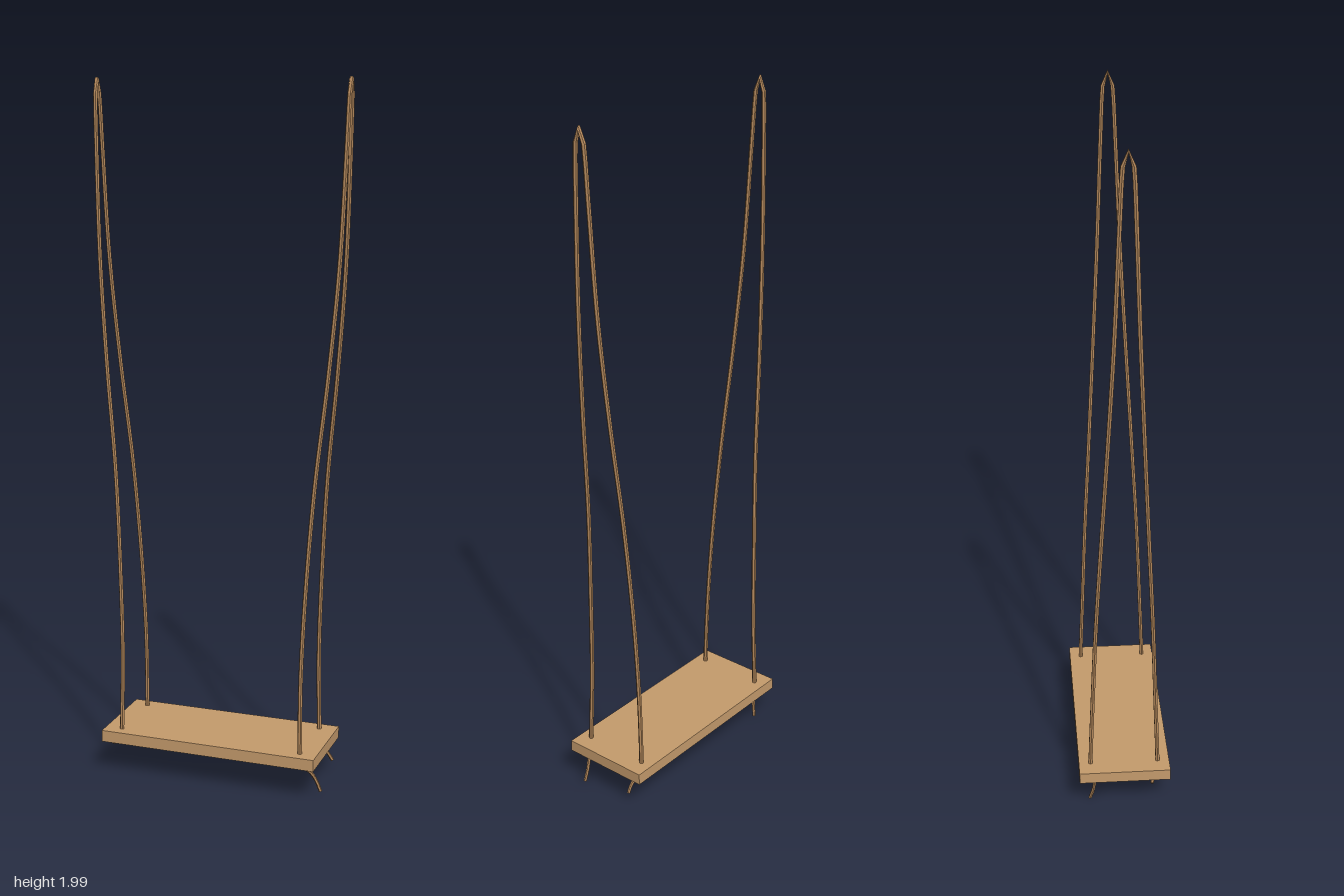
import * as THREE from 'three';

const wood = new THREE.MeshStandardMaterial({ color: 0xc69c6d });
const ropeMat = new THREE.MeshStandardMaterial({ color: 0xb5895c, flatShading: true });
const R = 0.0065;

// Six-sided rope along a smooth path, closed at both ends
function rope(name, points, segments, radius = R) {
  const pts = points.map((p) => new THREE.Vector3(...p));
  const curve = new THREE.CatmullRomCurve3(pts);
  const group = new THREE.Group();
  group.name = name;
  group.add(new THREE.Mesh(new THREE.TubeGeometry(curve, segments, radius, 6), ropeMat));
  for (const t of [0, 1]) {
    const cap = new THREE.Mesh(new THREE.CircleGeometry(radius, 6), ropeMat);
    cap.position.copy(curve.getPointAt(t));
    const dir = curve.getTangentAt(t).multiplyScalar(t ? 1 : -1);
    cap.quaternion.setFromUnitVectors(new THREE.Vector3(0, 0, 1), dir);
    group.add(cap);
  }
  group.children.forEach((m) => { m.name = name; });
  return group;
}

export function createModel() {
  const model = new THREE.Group();
  model.name = 'ropeSwing';

  // Plank seat
  const seat = new THREE.Mesh(new THREE.BoxGeometry(0.644, 0.034, 0.264), wood);
  seat.name = 'seat';
  seat.position.y = 0.116;
  model.add(seat);

  // One rope per side: up from the front hole, over the top, down to the back hole
  const rise = [
    [0.272, 0.09, 0.098], [0.272, 0.13, 0.098], [0.27, 0.35, 0.09], [0.278, 0.6, 0.08],
    [0.296, 0.9, 0.064], [0.325, 1.2, 0.048], [0.348, 1.5, 0.033], [0.359, 1.8, 0.021],
    [0.363, 1.95, 0.014], [0.364, 1.985, 0.009],
  ];
  for (const s of [1, -1]) {
    const up = rise.map(([x, y, z]) => [s * x, y, z]);
    const down = rise.map(([x, y, z]) => [s * x, y, -z]).reverse();
    const path = [...up, [s * 0.364, 1.9935, 0], ...down];
    model.add(rope(s > 0 ? 'leftRope' : 'rightRope', path, 90));
  }

  // Knot and loose end under each hole
  const tails = {
    frontLeft: [1, 1, [[0.272, 0.092, 0.098], [0.295, 0.08, 0.086], [0.312, 0.055, 0.077], [0.328, 0.018, 0.075]]],
    backLeft: [1, -1, [[0.272, 0.092, -0.098], [0.29, 0.08, -0.088], [0.306, 0.062, -0.085], [0.317, 0.045, -0.086]]],
    frontRight: [-1, 1, [[-0.272, 0.092, 0.098], [-0.285, 0.09, 0.09], [-0.298, 0.083, 0.083], [-0.308, 0.077, 0.079]]],
    backRight: [-1, -1, [[-0.272, 0.092, -0.098], [-0.282, 0.075, -0.088], [-0.28, 0.045, -0.09], [-0.273, 0.006, -0.1]]],
  };
  for (const [corner, [sx, sz, path]] of Object.entries(tails)) {
    model.add(rope(corner + 'RopeEnd', path, 10, 0.005));
    const knot = [
      [0.282, 0.089, 0.098], [0.27, 0.092, 0.105], [0.253, 0.094, 0.1],
      [0.258, 0.091, 0.088], [0.274, 0.086, 0.09],
    ].map(([x, y, z]) => [sx * x, y, sz * z]);
    model.add(rope(corner + 'Knot', knot, 14, 0.005));
  }
  return model;
}
